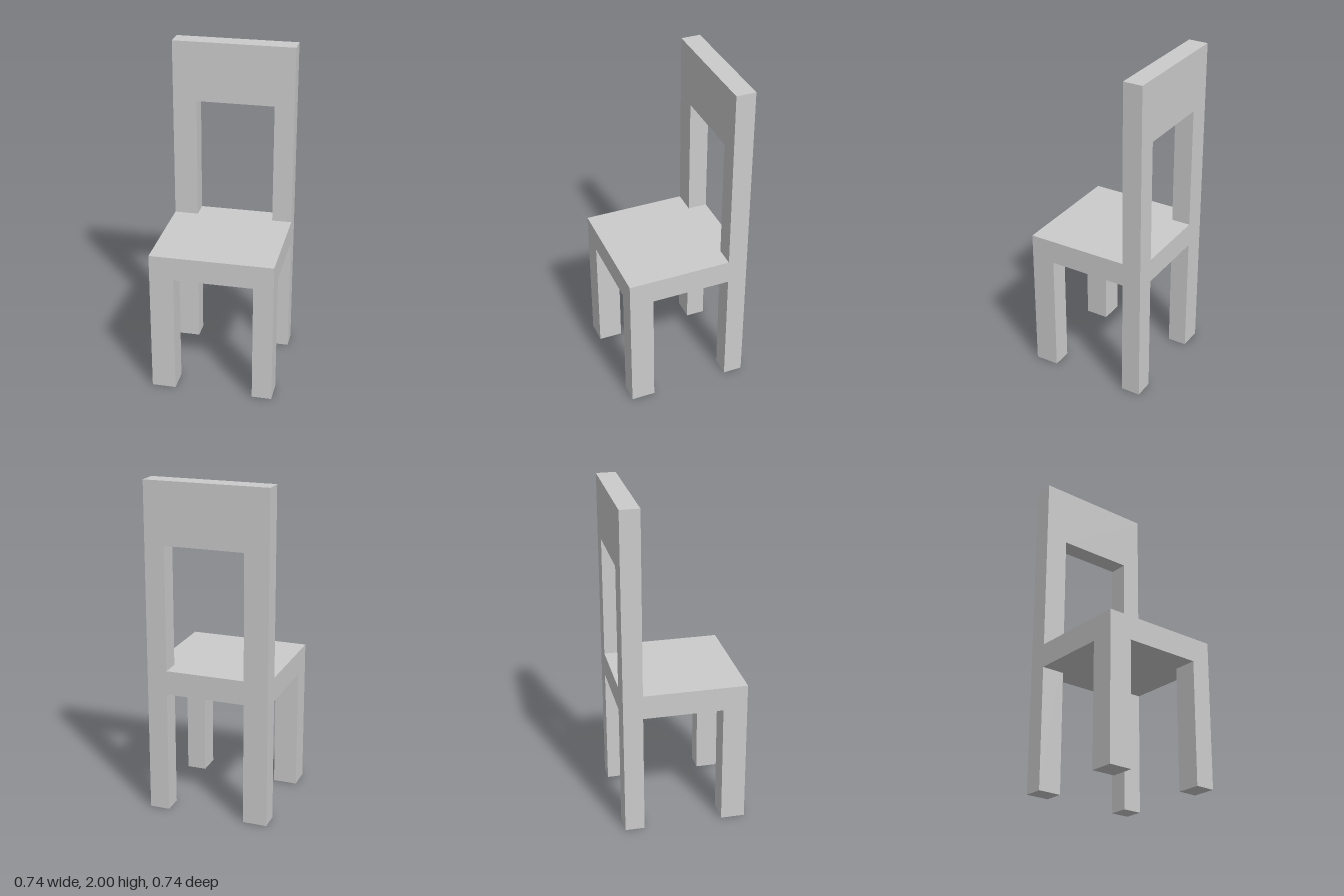
import * as THREE from 'three';

const OUT = 0.37;                        // half width and half depth
const IN_R = -0.225, IN_L = 0.25;        // inner edges of right and left legs
const FRONT_IN = 0.225, BACK_IN = -0.253; // inner edges of front and back legs
const SEAT_LOW = 0.745, SEAT_TOP = 0.89, RAIL_LOW = 1.635, TOP = 2;

export function createModel() {
  const group = new THREE.Group();
  const material = new THREE.MeshStandardMaterial({ color: 0xcccccc, flatShading: true });

  const add = (name, geometry) => {
    const mesh = new THREE.Mesh(geometry, material);
    mesh.name = name;
    group.add(mesh);
  };

  // Box given by its lower and upper limits on each axis
  const box = (name, [x0, x1], [y0, y1], [z0, z1]) => add(name,
    new THREE.BoxGeometry(x1 - x0, y1 - y0, z1 - z0)
      .translate((x0 + x1) / 2, (y0 + y1) / 2, (z0 + z1) / 2));

  const points = (list) => list.map(([x, y]) => new THREE.Vector2(x, y));

  // Back frame: back legs, seat edge, posts and top panel in one piece
  const frame = new THREE.Shape(points([
    [-OUT, 0], [IN_R, 0], [IN_R, SEAT_LOW], [IN_L, SEAT_LOW],
    [IN_L, 0], [OUT, 0], [OUT, TOP], [-OUT, TOP],
  ]));
  frame.holes.push(new THREE.Path(points([
    [IN_R, SEAT_TOP], [IN_R, RAIL_LOW], [IN_L, RAIL_LOW], [IN_L, SEAT_TOP],
  ])));
  add('backFrame', new THREE.ExtrudeGeometry(frame, { depth: BACK_IN + OUT, bevelEnabled: false })
    .translate(0, 0, -OUT));

  // Seat, butting against the back frame
  box('seat', [-OUT, OUT], [SEAT_LOW, SEAT_TOP], [BACK_IN, OUT]);

  // Front legs
  box('frontLegRight', [-OUT, IN_R], [0, SEAT_LOW], [FRONT_IN, OUT]);
  box('frontLegLeft', [IN_L, OUT], [0, SEAT_LOW], [FRONT_IN, OUT]);

  return group;
}
